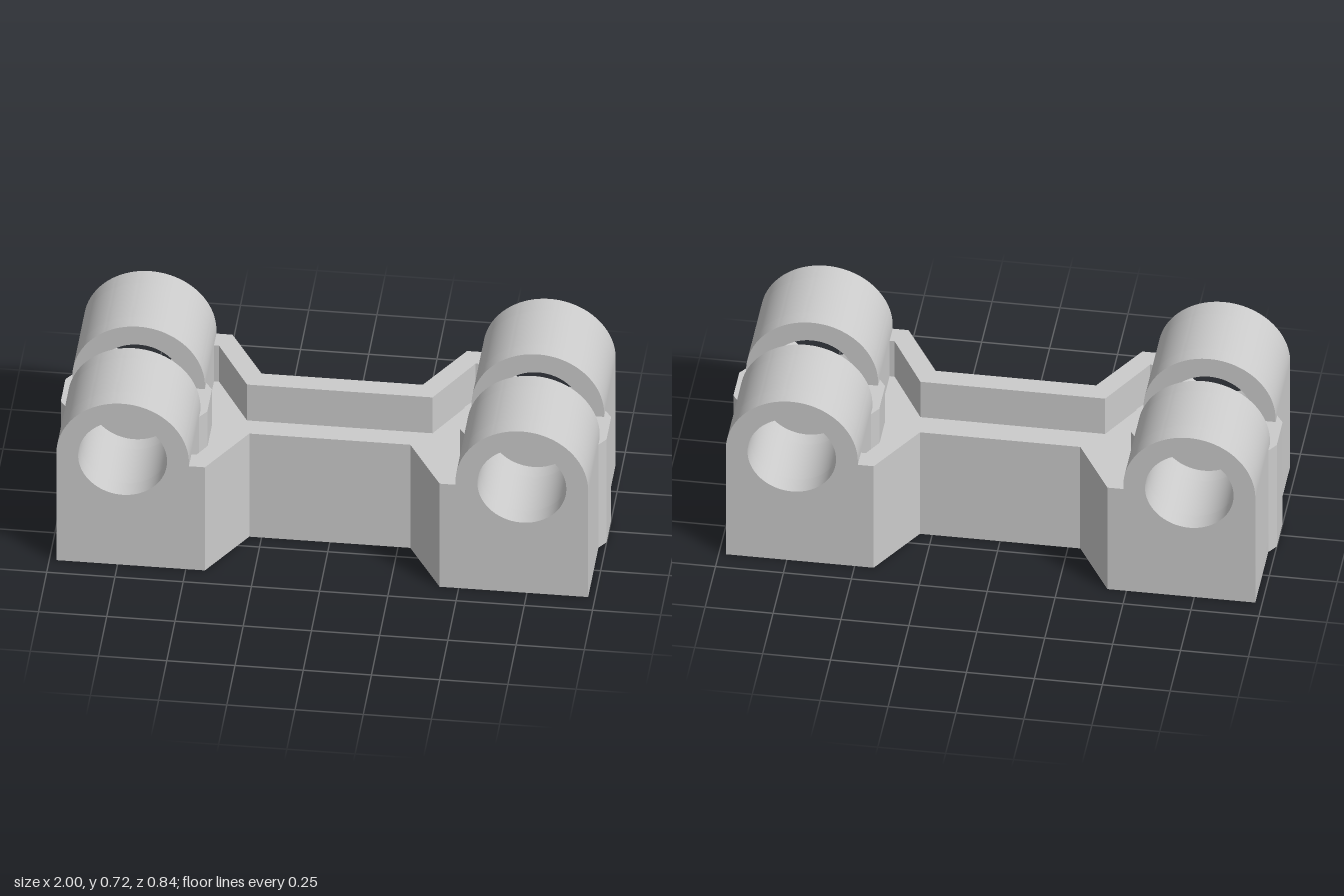
import * as THREE from 'three';
import { toCreasedNormals } from 'three/addons/utils/BufferGeometryUtils.js';

const CX = 0.7315, CY = 0.475, R = 0.243, BORE = 0.163; // bearing centre and radii
const WALL_H = 0.46;

const material = new THREE.MeshStandardMaterial({ color: 0xcccccc });

function mesh(name, geometry) {
  const m = new THREE.Mesh(toCreasedNormals(geometry, 0.5), material);
  m.name = name;
  return m;
}

function extrude(shape, depth) {
  return new THREE.ExtrudeGeometry(shape, { depth, bevelEnabled: false, curveSegments: 40 });
}

// Plan outline given as [x, z], raised from y0 to y1
function plan(name, points, y0, y1) {
  const shape = new THREE.Shape(points.map(([x, z]) => new THREE.Vector2(x, -z)));
  return mesh(name, extrude(shape, y1 - y0).rotateX(-Math.PI / 2).translate(0, y0, 0));
}

// Mirrors a list of [x, z] points to the other side of z
const mirrorZ = (pts) => pts.map(([x, z]) => [x, -z]).reverse();

// Upright block with a round top and a bore; optionally hollow underneath
function bearingProfile(hollow) {
  const s = new THREE.Shape();
  const p = 0.175; // half width of the pocket
  s.moveTo(-R, 0);
  if (hollow) {
    const a = Math.acos(p / R);
    s.lineTo(-p, 0);
    s.lineTo(-p, CY - R * Math.sin(a));
    s.absarc(0, CY, R, Math.PI + a, 2 * Math.PI - a, false);
    s.lineTo(p, 0);
  }
  s.lineTo(R, 0);
  s.lineTo(R, CY);
  s.absarc(0, CY, R, 0, Math.PI, false);
  s.lineTo(-R, 0);
  const hole = new THREE.Path();
  hole.absarc(0, CY, BORE, 0, Math.PI * 2, true);
  s.holes.push(hole);
  return s;
}

function bearing(cx, side) {
  const g = new THREE.Group();
  g.name = 'bearingBlock';
  // inner cheek, hollow middle, outer cheek
  for (const [name, z0, z1, hollow] of [
    ['innerCheek', 0.068, 0.13, false],
    ['hollowBarrel', 0.13, 0.345, true],
    ['outerCheek', 0.345, 0.42, false],
  ]) {
    const geo = extrude(bearingProfile(hollow), z1 - z0);
    geo.translate(cx, 0, side > 0 ? z0 : -z1);
    g.add(mesh(name, geo));
  }
  return g;
}

export function createModel() {
  const model = new THREE.Group();
  model.name = 'bearingBracket';

  // Four bearing blocks
  for (const sx of [-1, 1]) for (const sz of [-1, 1]) model.add(bearing(sx * CX, sz));

  // Waisted side walls
  const wall = [
    [-0.49, 0.42], [-0.43, 0.42], [-0.295, 0.19], [0.295, 0.19], [0.43, 0.42], [0.49, 0.42],
    [0.49, 0.345], [0.47, 0.345], [0.34, 0.115], [-0.34, 0.115], [-0.47, 0.345], [-0.49, 0.345],
  ];
  model.add(plan('frontWall', wall, 0, WALL_H));
  model.add(plan('backWall', mirrorZ(wall), 0, WALL_H));

  // Web plate between the walls, part way up
  const edge = [[-0.5, 0.35], [-0.46, 0.35], [-0.33, 0.13], [0.33, 0.13], [0.46, 0.35], [0.5, 0.35]];
  model.add(plan('webPlate', [...edge, ...mirrorZ(edge)], 0.18, 0.3));

  // Chamfered ribs that join each pair of blocks across the slot
  for (const sx of [-1, 1]) {
    for (const [name, dir] of [['outerRib', 1], ['innerRib', -1]]) {
      const half = [[0.188, 0.068], [0.235, 0.068], [0.235, 0.108], [R, 0.108], [0.2685, 0.07]];
      const pts = [...half, ...mirrorZ(half)].map(([x, z]) => [sx * (CX + dir * x), z]);
      model.add(plan(name, pts, 0, WALL_H));
    }
  }
  return model;
}
